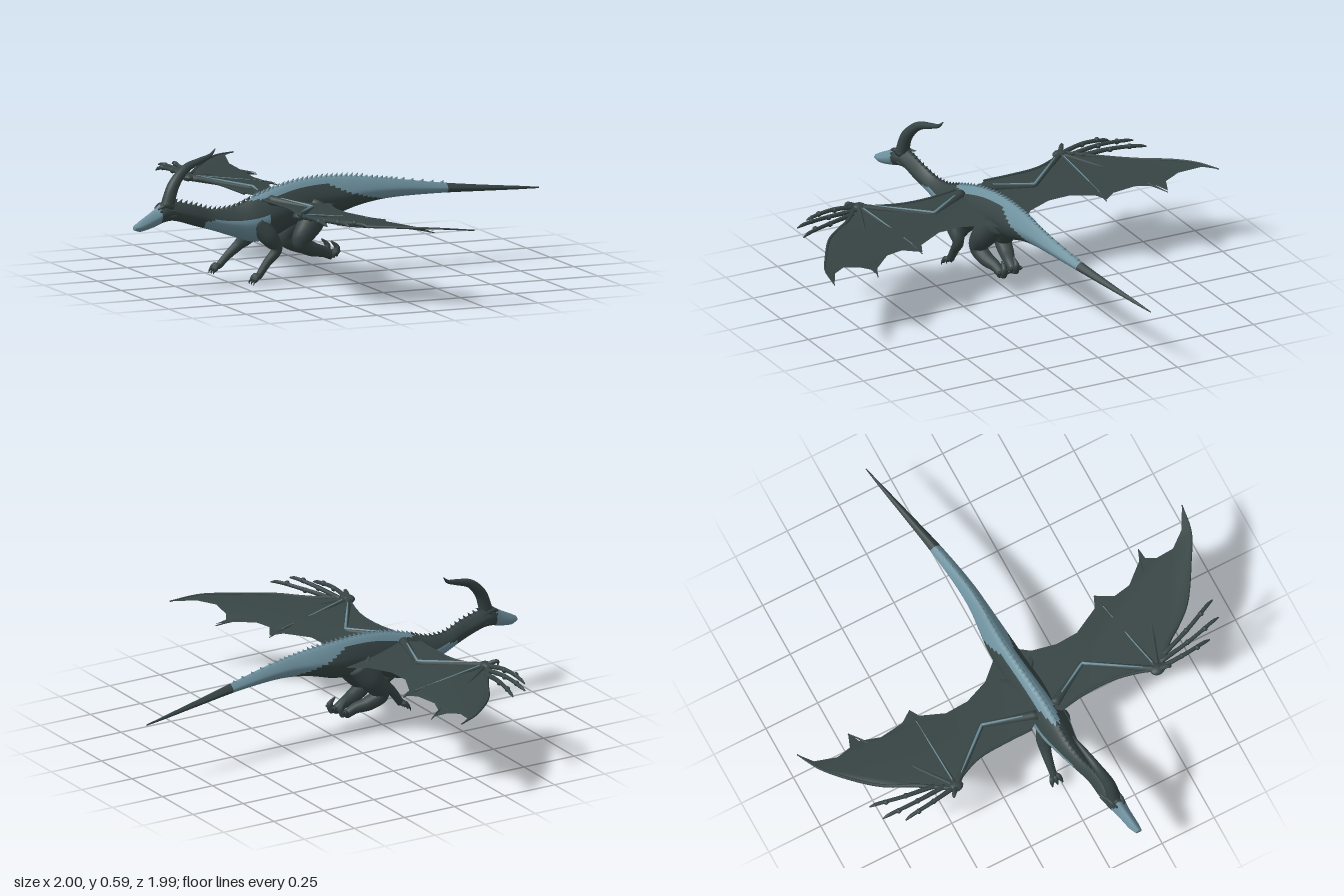
import * as THREE from 'three';

const V = (p) => new THREE.Vector3(...p);
const material = (name, color, side = THREE.FrontSide) => {
  const m = new THREE.MeshStandardMaterial({ color, side });
  m.name = name;
  return m;
};

// Skin through elliptical rings {c, u, v}; pinch narrows the upper half into a ridge,
// light(x, up) picks the second material
function skin(rings, sides, pinch = 0, light = () => false) {
  const pos = [], groups = [[], []];
  const first = rings[0], last = rings[rings.length - 1], O = new THREE.Vector3();
  const all = [{ c: first.c, u: O, v: O }, ...rings, { c: last.c, u: O, v: O }];
  for (const r of all) for (let j = 0; j < sides; j++) {
    const a = (j / sides) * Math.PI * 2, s = Math.sin(a);
    pos.push(...r.c.clone().addScaledVector(r.u, s)
      .addScaledVector(r.v, Math.cos(a) * (1 - pinch * Math.max(0, s))).toArray());
  }
  for (let i = 0; i < all.length - 1; i++) for (let j = 0; j < sides; j++) {
    const k = (j + 1) % sides, a = i * sides + j, b = a + sides, c = i * sides + k, d = c + sides;
    const up = Math.sin(((j + 0.5) / sides) * Math.PI * 2);
    groups[light(all[i].c.x, up) ? 1 : 0].push(a, b, c, b, d, c);
  }
  const g = new THREE.BufferGeometry();
  g.setAttribute('position', new THREE.Float32BufferAttribute(pos, 3));
  g.setIndex([...groups[0], ...groups[1]]);
  g.addGroup(0, groups[0].length, 0);
  g.addGroup(groups[0].length, groups[1].length, 1);
  g.computeVertexNormals();
  return g;
}

// Tapered tube along points, with radii spread evenly along it
function limb(points, radii, sides = 10, steps = 6) {
  const curve = new THREE.CatmullRomCurve3(points.map(V));
  const n = (points.length - 1) * steps, rings = [];
  const N = new THREE.Vector3(0.31, 0.2, 0.93);
  for (let i = 0; i <= n; i++) {
    const t = i / n, T = curve.getTangent(t), s = t * (radii.length - 1);
    const k = Math.min(Math.floor(s), radii.length - 2);
    const r = THREE.MathUtils.lerp(radii[k], radii[k + 1], s - k);
    N.addScaledVector(T, -N.dot(T)).normalize();
    const B = T.clone().cross(N);
    rings.push({ c: curve.getPoint(t), u: N.clone().multiplyScalar(r), v: B.multiplyScalar(r) });
  }
  return skin(rings, sides);
}

// Body stations: x, bottom y, top y, centre z, half width
const BODY = [
  [-1.0, 0.28, 0.302, 0.137, 0.014], [-0.97, 0.272, 0.32, 0.13, 0.022], [-0.9, 0.285, 0.358, 0.115, 0.029],
  [-0.85, 0.3, 0.388, 0.103, 0.038], [-0.8, 0.302, 0.385, 0.092, 0.036], [-0.7, 0.272, 0.362, 0.083, 0.033],
  [-0.6, 0.24, 0.332, 0.064, 0.038], [-0.5, 0.205, 0.335, 0.052, 0.053], [-0.4, 0.175, 0.37, 0.045, 0.072],
  [-0.3, 0.195, 0.4, 0.035, 0.07], [-0.2, 0.235, 0.418, 0.022, 0.064], [-0.1, 0.25, 0.425, 0.01, 0.06],
  [0, 0.262, 0.423, 0.002, 0.058], [0.1, 0.29, 0.416, 0, 0.049], [0.2, 0.308, 0.403, 0, 0.039],
  [0.3, 0.314, 0.388, -0.005, 0.034], [0.5, 0.31, 0.355, -0.03, 0.026], [0.7, 0.298, 0.326, -0.065, 0.017],
  [0.9, 0.285, 0.3, -0.102, 0.008], [1, 0.28, 0.286, -0.12, 0.002],
];
const centreLine = new THREE.CatmullRomCurve3(BODY.map(([x, b, t, z]) => new THREE.Vector3(x, (b + t) / 2, z)));
const girth = new THREE.CatmullRomCurve3(BODY.map(([, b, t, , w], i) => new THREE.Vector3((t - b) / 2, w, i * 0.05)));

// Pale muzzle, chest, narrow back stripe and tail band
function isPale(x, up) {
  if (x < -0.87) return true;
  if (x > -0.66 && x < -0.36 && up < 0.08 - Math.max(0, -0.61 - x) * 8) return true;
  const edge = x < -0.05 ? 0.68 + Math.max(0, -0.32 - x) * 2.5 : 0.68 - (x + 0.05) * 6;
  return x > -0.44 && x < 0.53 && up > edge;
}

// Wing outlines in (x, z): leading edge from shoulder, then trailing edge back to the flank
const WINGS = [
  {
    side: 'right', lift: 0.34, wrist: [-0.48, -0.47], elbow: [-0.28, -0.24], shoulder: [-0.35, -0.01], tips: [14, 18],
    outline: [[-0.34, 0.02], [-0.4, -0.06], [-0.4, -0.18], [-0.41, -0.32], [-0.45, -0.42], [-0.49, -0.48], [-0.4, -0.61],
      [-0.32, -0.75], [-0.21, -0.88], [-0.13, -0.95], [-0.035, -1], [-0.095, -0.95], [-0.12, -0.85], [-0.1, -0.78],
      [-0.035, -0.755], [-0.09, -0.73], [-0.12, -0.64], [-0.105, -0.53], [-0.065, -0.475], [-0.11, -0.45],
      [-0.155, -0.345], [-0.15, -0.24], [-0.105, -0.13], [-0.02, -0.04], [0, 0]],
    hand: [[-0.515, -0.73], [-0.465, -0.815], [-0.39, -0.84]], thumb: [-0.52, -0.5],
  },
  {
    side: 'left', lift: 0.338, wrist: [-0.41, 0.54], elbow: [-0.23, 0.27], shoulder: [-0.34, 0.08], tips: [16, 20],
    outline: [[-0.34, 0.03], [-0.38, 0.09], [-0.36, 0.22], [-0.36, 0.35], [-0.39, 0.48], [-0.42, 0.55], [-0.32, 0.64],
      [-0.27, 0.71], [-0.2, 0.79], [-0.03, 0.9], [0.08, 0.96], [0.21, 0.985], [0.11, 0.93], [0.055, 0.86],
      [0.055, 0.78], [0.08, 0.74], [0.135, 0.735], [0.08, 0.71], [0, 0.62], [-0.015, 0.54], [0.03, 0.465],
      [-0.025, 0.44], [-0.09, 0.32], [-0.095, 0.22], [-0.07, 0.11], [-0.02, 0.045], [0, 0]],
    hand: [[-0.395, 0.8], [-0.325, 0.88], [-0.24, 0.895]], thumb: [-0.425, 0.59],
  },
];

export function createModel() {
  const root = new THREE.Group();
  root.name = 'dragon';
  const hide = material('dark hide', 0x374444);
  const pale = material('pale scales', 0x6c8f9c);
  const membrane = material('wing membrane', 0x374444, THREE.DoubleSide);
  const claw = material('claw', 0x2b3535);
  const add = (name, geometry, mat, parent = root) => {
    const m = new THREE.Mesh(geometry, mat);
    m.name = name;
    parent.add(m);
    return m;
  };

  // Body, neck, head and tail in one skin
  const rings = [];
  for (let i = 0; i <= 240; i++) {
    const s = girth.getPoint(i / 240);
    rings.push({ c: centreLine.getPoint(i / 240), u: new THREE.Vector3(0, s.x, 0), v: new THREE.Vector3(0, 0, s.y) });
  }
  add('body', skin(rings, 40, 0.4, isPale), [hide, pale]);

  // Blunt spines along the neck, back and tail
  for (let t = 0.17; t < 0.85; t += 0.0125) {
    const c = centreLine.getPoint(t), h = t > 0.7 ? 0.016 : 0.025;
    const s = add('spine', new THREE.ConeGeometry(0.01, h, 6), c.x > -0.42 && c.x < 0.53 ? pale : hide);
    s.position.set(c.x, c.y + girth.getPoint(t).x + h * 0.2, c.z);
    s.rotation.z = -0.6;
  }

  // Swept horn
  add('horn', limb([[-0.835, 0.36, 0.105], [-0.8, 0.455, 0.098], [-0.735, 0.52, 0.078], [-0.655, 0.548, 0.06],
    [-0.605, 0.565, 0.048], [-0.58, 0.59, 0.04]], [0.031, 0.026, 0.019, 0.013, 0.008, 0.002], 14, 8), hide);

  // Eyes, brows and cheek spikes
  for (const s of [-1, 1]) {
    const eye = add('eye', new THREE.SphereGeometry(0.006, 10, 8), claw);
    eye.position.set(-0.872, 0.352, 0.108 + s * 0.026);
    add('brow', limb([[-0.885, 0.362, 0.112 + s * 0.016], [-0.86, 0.373, 0.106 + s * 0.024],
      [-0.82, 0.378, 0.098 + s * 0.03]], [0.004, 0.009, 0.004], 8), hide);
    for (let k = 0; k < 3; k++) add('cheekSpike', limb([[-0.84, 0.37 - k * 0.022, 0.1 + s * 0.026],
      [-0.795, 0.376 - k * 0.024, 0.093 + s * 0.039]], [0.01, 0.001], 6), hide);
  }

  // Feet: splayed toes ending in hooked claws
  const foot = (name, [x, y, z], dx, dy) => {
    const g = new THREE.Group();
    g.name = name;
    root.add(g);
    for (let k = -1; k <= 1; k++) {
      const w = k * 0.016;
      add('toe', limb([[x, y, z + w * 0.5], [x + dx * 0.5, y + 0.008 + dy * 0.4, z + w], [x + dx, y + dy, z + w * 1.4]],
        [0.012, 0.012, 0.009], 8), hide, g);
      add('toeClaw', limb([[x + dx, y + dy, z + w * 1.4], [x + dx * 1.3, y + dy * 1.3 - 0.002, z + w * 1.5],
        [x + dx * 1.4, y + dy * 1.7 - 0.008, z + w * 1.5]], [0.007, 0.004, 0.001], 6), claw, g);
    }
  };

  // Forelegs reach forward at different strides
  add('leftForeleg', limb([[-0.4, 0.26, 0.075], [-0.355, 0.2, 0.1], [-0.322, 0.147, 0.105], [-0.365, 0.09, 0.1],
    [-0.403, 0.035, 0.1]], [0.046, 0.04, 0.025, 0.019, 0.016], 12), hide);
  foot('leftForefoot', [-0.403, 0.033, 0.1], -0.025, -0.015);
  add('rightForeleg', limb([[-0.39, 0.26, 0.015], [-0.41, 0.195, -0.005], [-0.445, 0.155, -0.018], [-0.495, 0.11, -0.024],
    [-0.535, 0.068, -0.026]], [0.045, 0.038, 0.024, 0.018, 0.015], 12), hide);
  foot('rightForefoot', [-0.535, 0.068, -0.026], -0.025, -0.014);
  add('elbowSpur', limb([[-0.335, 0.15, 0.105], [-0.3, 0.165, 0.105]], [0.016, 0.002], 6), hide);

  // Hind legs folded and trailing
  for (const [name, s] of [['left', 1], ['right', -1]]) {
    const z = 0.012 + s * 0.048, dx = s < 0 ? -0.015 : 0;
    add(name + 'HindLeg', limb([[-0.1 + dx, 0.31, z * 0.7], [-0.15 + dx, 0.24, z + s * 0.01], [-0.195 + dx, 0.165, z + s * 0.016],
      [-0.14 + dx, 0.128, z + s * 0.005], [-0.085 + dx, 0.112, z - s * 0.01], [-0.04 + dx, 0.09, z - s * 0.015]],
      [0.058, 0.056, 0.038, 0.032, 0.024, 0.019], 14), hide);
    foot(name + 'HindFoot', [-0.04 + dx, 0.088, z - s * 0.015], 0.022, 0.018);
    add('heelClaw', limb([[-0.03 + dx, 0.09, z - s * 0.015], [-0.015 + dx, 0.122, z - s * 0.015],
      [-0.042 + dx, 0.152, z - s * 0.015]], [0.018, 0.014, 0.003], 8), hide);
  }

  // Wings: membrane sheet, arm, finger bones and a free clawed hand
  for (const w of WINGS) {
    const g = new THREE.Group();
    g.name = w.side + 'Wing';
    root.add(g);
    const height = (x, z) => w.lift - 0.13 * (x + 0.2) + 0.2 * Math.max(0, Math.abs(z) - 0.75);
    const at = ([x, z], dy = 0) => [x, height(x, z) + dy, z];
    const mid = (a, b, t, bow = 0) => [a[0] + (b[0] - a[0]) * t + bow, a[1] + (b[1] - a[1]) * t];

    const sheet = new THREE.ShapeGeometry(new THREE.Shape(w.outline.map(([x, z]) => new THREE.Vector2(x, -z))));
    sheet.rotateX(-Math.PI / 2);
    const p = sheet.attributes.position;
    for (let i = 0; i < p.count; i++) p.setY(i, height(p.getX(i), p.getZ(i)));
    sheet.computeVertexNormals();
    add('membrane', sheet, membrane, g);

    // Arm with a pale ridge riding along its top
    add('upperArm', limb([at(w.shoulder), at(mid(w.shoulder, w.elbow, 0.5)), at(w.elbow)], [0.022, 0.015, 0.011]), hide, g);
    add('forearm', limb([at(w.elbow), at(mid(w.elbow, w.wrist, 0.5)), at(w.wrist)], [0.011, 0.012, 0.015]), hide, g);
    add('armStripe', limb([at(mid(w.shoulder, w.elbow, 0.25), 0.017), at(mid(w.shoulder, w.elbow, 0.6), 0.013),
      at(w.elbow, 0.01)], [0.003, 0.005, 0.006], 6), pale, g);
    add('armStripe', limb([at(w.elbow, 0.01), at(mid(w.elbow, w.wrist, 0.45), 0.011),
      at(mid(w.elbow, w.wrist, 0.8), 0.013)], [0.006, 0.005, 0.002], 6), pale, g);

    // Long leading finger follows the outline; two more cross the sheet
    const tip = w.outline.reduce((best, q, i, a) => (Math.abs(q[1]) > Math.abs(a[best][1]) ? i : best), 0);
    const lead = w.outline.slice(5, tip + 1).map((q) => at(q));
    add('leadingFinger', limb(lead, lead.map((_, i) => 0.01 - (0.007 * i) / (lead.length - 1)), 8), hide, g);
    const edge = w.outline.slice(1, 6).map((q) => at(q));
    add('leadingEdge', limb(edge, edge.map(() => 0.006), 8), hide, g);
    for (const i of w.tips) {
      const end = w.outline[i];
      add('fingerBone', limb([at(w.wrist), at(mid(w.wrist, end, 0.5, -0.012)), at(mid(w.wrist, end, 0.85)), at(end, -0.008)],
        [0.01, 0.007, 0.005, 0.002], 8), hide, g);
    }
    const inner = w.outline[w.tips[1]];
    add('fingerStripe', limb([at(mid(w.wrist, inner, 0.08), 0.009), at(mid(w.wrist, inner, 0.5, -0.012), 0.006),
      at(mid(w.wrist, inner, 0.85), 0.004)], [0.003, 0.003, 0.002], 6), pale, g);

    // Free fingers with knuckles, rooted along the outer wrist
    const palm = add('palm', new THREE.SphereGeometry(0.024, 14, 10), hide, g);
    palm.position.set(...at(w.wrist));
    palm.scale.set(1.1, 0.7, 1.4);
    w.hand.forEach((end, i) => {
      const base = mid(w.wrist, w.outline[6], i * 0.28);
      add('freeFinger', limb([at(base), at(mid(base, end, 0.5, -0.006), 0.012), at(mid(base, end, 0.9)), at(end, -0.012)],
        [0.011, 0.009, 0.008, 0.003], 8), hide, g);
      for (const t of [0.45, 0.75]) {
        const k = add('knuckle', new THREE.SphereGeometry(0.0125, 8, 6), hide, g);
        k.position.set(...at(mid(base, end, t, -0.005), 0.009));
      }
    });
    add('thumbClaw', limb([at(w.wrist), at(w.thumb, 0.015), at(w.thumb, -0.012)], [0.013, 0.008, 0.002], 8), hide, g);
  }
  return root;
}
